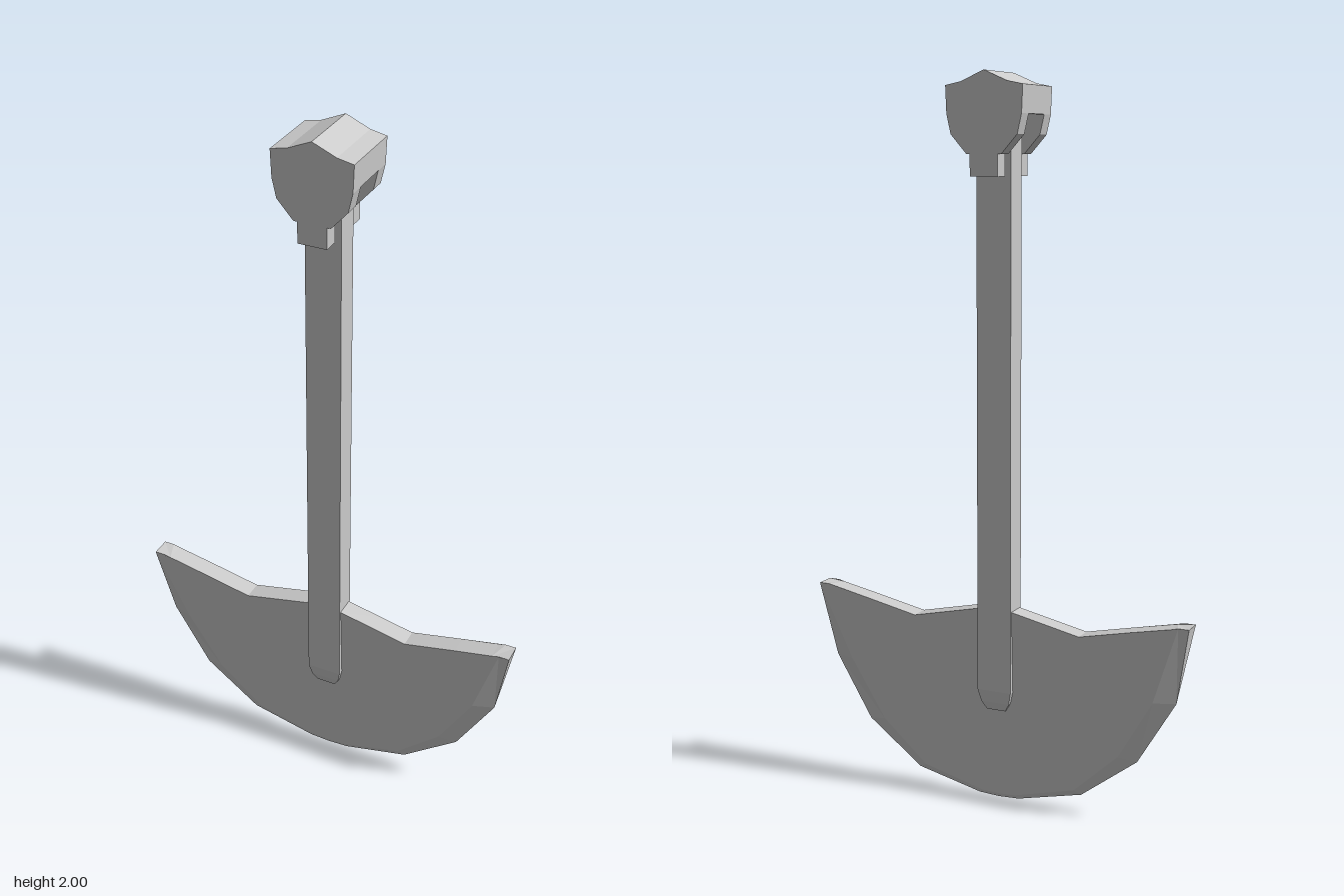
import * as THREE from 'three';

const material = new THREE.MeshStandardMaterial({ color: 0xcccccc, flatShading: true });

// Skins a row of equal-length closed loops; each loop runs counter-clockwise seen from the start end.
function loft(sections) {
  const n = sections[0].length;
  const last = sections.length - 1;
  const index = [];
  for (let s = 0; s < last; s++) {
    for (let i = 0; i < n; i++) {
      const j = (i + 1) % n;
      const a = s * n + i, b = s * n + j;
      index.push(a, a + n, b + n, a, b + n, b);
    }
  }
  for (let i = 1; i < n - 1; i++) {
    index.push(0, i, i + 1);
    index.push(last * n, last * n + i + 1, last * n + i);
  }
  const indexed = new THREE.BufferGeometry();
  indexed.setAttribute('position', new THREE.Float32BufferAttribute(sections.flat(2), 3));
  indexed.setIndex(index);
  const geometry = indexed.toNonIndexed();
  geometry.computeVertexNormals();
  return geometry;
}

function addMesh(parent, name, geometry) {
  const mesh = new THREE.Mesh(geometry, material);
  mesh.name = name;
  parent.add(mesh);
  return mesh;
}

// Crescent blade: thick along the top, thinning downward, bevelled to a sharp rim.
function bladeGeometry() {
  // [top x, top y, bevel x, bevel y, rim x, rim y] from the horn to the middle
  const half = [
    [0.51, 0.562, 0.53, 0.567, 0.56, 0.567],
    [0.40, 0.54, 0.46, 0.35, 0.52, 0.35],
    [0.25, 0.508, 0.36, 0.18, 0.412, 0.17],
    [0.15, 0.53, 0.23, 0.06, 0.25, 0.048],
    [0.05, 0.552, 0.05, 0.012, 0.06, 0.003],
    [0, 0.555, 0, 0.01, 0, 0],
  ];
  const mirrored = half.slice(0, -1).reverse().map((p) => p.map((v, i) => (i % 2 ? v : -v)));
  const stations = [...half, ...mirrored];
  const thickness = (y) => 0.003 + 0.025 * Math.min(1, y / 0.5);
  return loft(stations.map(([tx, ty, bx, by, rx, ry], i) => {
    const horn = i === 0 || i === stations.length - 1;
    const rz = horn ? thickness(ry) : 0;
    const front = [[tx, ty, thickness(ty)], [bx, by, thickness(by)], [rx, ry, rz]];
    const back = front.map(([x, y, z]) => [x, y, -z]).reverse();
    return [...front, ...back];
  }));
}

// Rectangular shaft with a tapered foot.
function shaftGeometry() {
  const rows = [[1.89, 0.05, 0.034], [0.32, 0.05, 0.034], [0.285, 0.042, 0.027], [0.262, 0.028, 0.02]];
  return loft(rows.map(([y, x, z]) => [[-x, y, z], [x, y, z], [x, y, -z], [-x, y, -z]]));
}

// Extrudes a profile given by its right half, mirrored across x = 0.
function mirroredSlab(half, z0, z1) {
  const left = half.filter(([x]) => x > 0).map(([x, y]) => [-x, y]).reverse();
  const shape = new THREE.Shape([...half, ...left].map(([x, y]) => new THREE.Vector2(x, y)));
  return new THREE.ExtrudeGeometry(shape, { depth: z1 - z0, bevelEnabled: false }).translate(0, 0, z0);
}

export function createModel() {
  const model = new THREE.Group();
  model.name = 'pendulumBlade';

  addMesh(model, 'blade', bladeGeometry());
  addMesh(model, 'shaft', shaftGeometry());

  // Forked head: a crown block over the shaft and a cheek plate on each side
  const head = new THREE.Group();
  head.name = 'forkedHead';
  model.add(head);
  const crown = [[0, 2], [0.065, 1.972], [0.11, 1.963], [0.107, 1.89]];
  const cheek = [...crown, [0.095, 1.838], [0.05, 1.788], [0.04, 1.788], [0.04, 1.73]];
  addMesh(head, 'crown', mirroredSlab(crown, -0.05, 0.05));
  addMesh(head, 'frontCheek', mirroredSlab(cheek, 0.05, 0.094));
  addMesh(head, 'backCheek', mirroredSlab(cheek, -0.094, -0.05));

  return model;
}
